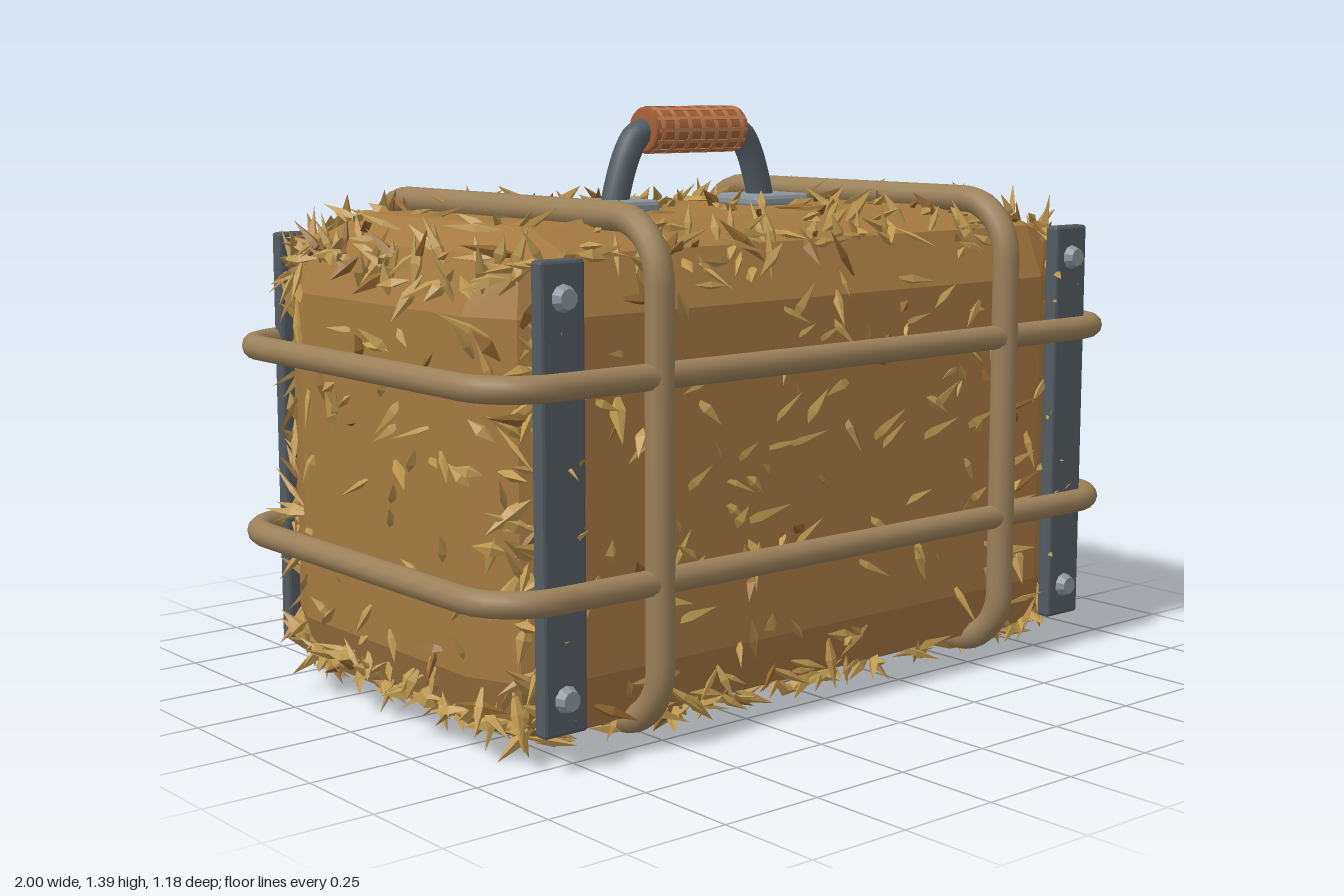
import * as THREE from 'three';
import { mergeGeometries } from 'three/addons/utils/BufferGeometryUtils.js';
import { RoundedBoxGeometry } from 'three/addons/geometries/RoundedBoxGeometry.js';

const mat = (name, color, flat = false) => {
  const m = new THREE.MeshStandardMaterial({ color, flatShading: flat });
  m.name = name;
  return m;
};

// Small seeded random generator
function seeded(seed) {
  return () => {
    seed = (seed + 0x6d2b79f5) | 0;
    let t = Math.imul(seed ^ (seed >>> 15), 1 | seed);
    t = (t + Math.imul(t ^ (t >>> 7), 61 | t)) ^ t;
    return ((t ^ (t >>> 14)) >>> 0) / 4294967296;
  };
}

export function createModel() {
  const model = new THREE.Group();
  model.name = 'strawBaleCase';
  const hay = mat('hay', 0xa67a41, true);
  const straw = mat('straw', 0xbe9850, true);
  const darkStraw = mat('darkStraw', 0x94682f, true);
  const rope = mat('rope', 0x9a8159);
  const steel = mat('darkSteel', 0x535c63);
  const flatSteel = mat('stripSteel', 0x535b62, true);
  const plateSteel = mat('plateSteel', 0x8a959c, true);
  const leather = mat('leather', 0xa55f36);
  const stitch = mat('leatherBinding', 0xbd7d52);

  const add = (name, geo, material, x = 0, y = 0, z = 0, parent = model) => {
    const m = new THREE.Mesh(geo, material);
    m.name = name;
    m.position.set(x, y, z);
    parent.add(m);
    return m;
  };
  const rnd = seeded(17);
  const span = (a, b) => a + (b - a) * rnd();

  // Bale: box with two-facet rounded edges
  const half = new THREE.Vector3(0.91, 0.57, 0.515), R = 0.18, midY = 0.58;
  add('bale', new RoundedBoxGeometry(half.x * 2, half.y * 2, half.z * 2, 1, R), hay, 0, midY, 0);

  // Straw: bent four-sided splinters scattered over the bale
  const core = half.clone().subScalar(R);
  const piles = [[], []];
  const lo = new THREE.Vector3(-0.98, 0.005, -0.575), hi = new THREE.Vector3(0.98, 1.2, 0.575);
  function splinter(p, lift) {
    const inner = p.clone().clamp(core.clone().negate(), core);
    const n = p.clone().sub(inner).normalize();
    const at = inner.addScaledVector(n, R * 0.985);
    at.y += midY;
    const dir = new THREE.Vector3(span(-1, 1), span(-1, 1), span(-1, 1));
    dir.addScaledVector(n, -dir.dot(n)).normalize().addScaledVector(n, span(0.05, lift)).normalize();
    const len = span(0.07, 0.16), w = span(0.009, 0.019);
    const geo = new THREE.OctahedronGeometry(1);
    geo.scale(w, len / 2, w * 0.7);
    geo.applyQuaternion(new THREE.Quaternion().setFromUnitVectors(new THREE.Vector3(0, 1, 0), dir));
    geo.translate(at.x + dir.x * len * 0.15, at.y + dir.y * len * 0.15, at.z + dir.z * len * 0.15);
    const pos = geo.attributes.position, v = new THREE.Vector3();
    for (let i = 0; i < pos.count; i++) {
      v.fromBufferAttribute(pos, i).clamp(lo, hi);
      pos.setXYZ(i, v.x, v.y, v.z);
    }
    piles[rnd() < 0.12 ? 1 : 0].push(geo);
  }
  const onFace = (axis, side) => {
    const p = new THREE.Vector3(span(-half.x, half.x), span(-half.y, half.y), span(-half.z, half.z));
    return p.setComponent(axis, side * half.getComponent(axis));
  };
  // Even cover on each face, with only a little underneath
  const counts = [[100, 100], [35, 190], [200, 200]];
  counts.forEach((pair, axis) => pair.forEach((count, s) => {
    for (let i = 0; i < count; i++) splinter(onFace(axis, s * 2 - 1), axis === 1 && s === 0 ? 0.15 : 0.8);
  }));
  // Thicker tufts along the edges
  for (let axis = 0; axis < 3; axis++) {
    const edge = (axis + 1) % 3;
    for (const a of [-1, 1]) for (const b of [-1, 1]) {
      for (let i = 0; i < 55; i++) {
        const p = onFace(axis, a);
        p.setComponent(edge, b * (half.getComponent(edge) - span(0, 0.14)));
        splinter(p, 1.1);
      }
    }
  }
  add('strawSplinters', mergeGeometries(piles[0]), straw);
  add('darkStrawSplinters', mergeGeometries(piles[1]), darkStraw);

  // Ropes: closed rounded-rectangle loops
  class Loop extends THREE.Curve {
    constructor(shape, place) {
      super();
      this.pts = shape;
      this.place = place;
    }
    getPoint(t, target = new THREE.Vector3()) {
      const p = this.pts.getPointAt(((t % 1) + 1) % 1);
      return target.copy(this.place(p.x, p.y));
    }
  }
  function roundedRect(w, h, r) {
    const s = new THREE.Path();
    s.moveTo(w - r, -h);
    s.absarc(w - r, -h + r, r, -Math.PI / 2, 0, false);
    s.absarc(w - r, h - r, r, 0, Math.PI / 2, false);
    s.absarc(-w + r, h - r, r, Math.PI / 2, Math.PI, false);
    s.absarc(-w + r, -h + r, r, Math.PI, Math.PI * 1.5, false);
    s.closePath();
    return s;
  }
  function ropeLoop(name, shape, place, radius) {
    const curve = new Loop(shape, place);
    add(name, new THREE.TubeGeometry(curve, 160, radius, 12, true), rope);
  }
  for (const y of [0.385, 0.835])
    ropeLoop('horizontalRope', roundedRect(0.97, 0.555, 0.14), (a, b) => new THREE.Vector3(a, y, b), 0.03);
  for (const x of [-0.553, 0.547])
    ropeLoop('verticalRope', roundedRect(0.558, 0.56, 0.14), (a, b) => new THREE.Vector3(x, 0.61 + b, a), 0.033);

  // Four corner strips, each with two bolts
  for (const sx of [-1, 1]) for (const sz of [-1, 1]) {
    const strip = new THREE.Group();
    strip.name = 'cornerStrip';
    strip.position.set(sx * 0.803, 0.593, sz * 0.532);
    if (sz < 0) strip.rotation.y = Math.PI;
    model.add(strip);
    add('strip', new RoundedBoxGeometry(0.115, 1.01, 0.038, 1, 0.008), flatSteel, 0, 0, 0, strip);
    for (const y of [-0.425, 0.425]) {
      const bolt = add('bolt', new THREE.CylinderGeometry(0.022, 0.031, 0.022, 10), plateSteel, 0, y, 0.029, strip);
      bolt.rotation.x = Math.PI / 2;
    }
  }

  // Handle: base plates, bent arms and bound grip
  const handle = new THREE.Group();
  handle.name = 'handle';
  model.add(handle);
  for (const s of [-1, 1]) {
    add('handlePlate', new RoundedBoxGeometry(0.18, 0.035, 0.165, 1, 0.012), plateSteel, s * 0.245, 1.16, -0.003, handle);
    const path = new THREE.CatmullRomCurve3([[0.24, 1.15], [0.225, 1.21], [0.195, 1.29], [0.165, 1.33], [0.1, 1.342]]
      .map(([x, y]) => new THREE.Vector3(s * x, y, 0)));
    add('handleArm', new THREE.TubeGeometry(path, 20, 0.034, 12), steel, 0, 0, 0, handle);
  }
  const grip = new THREE.Group();
  grip.name = 'grip';
  grip.position.y = 1.342;
  grip.rotation.z = Math.PI / 2;
  handle.add(grip);
  const profile = [[0, -0.15], [0.05, -0.15], [0.056, -0.143], [0.056, 0.143], [0.05, 0.15], [0, 0.15]];
  add('gripCore', new THREE.LatheGeometry(profile.map(([x, y]) => new THREE.Vector2(x, y)), 24), leather, 0, 0, 0, grip);
  for (let i = 0; i < 7; i++)
    add('gripRing', new THREE.CylinderGeometry(0.0575, 0.0575, 0.012, 24, 1), stitch, 0, (i - 3) * 0.042, 0, grip);
  for (let i = 0; i < 12; i++) {
    const a = (i / 12) * Math.PI * 2;
    const bar = add('gripBar', new THREE.BoxGeometry(0.004, 0.28, 0.009), stitch,
      Math.cos(a) * 0.0555, 0, Math.sin(a) * 0.0555, grip);
    bar.rotation.y = -a;
  }
  return model;
}
